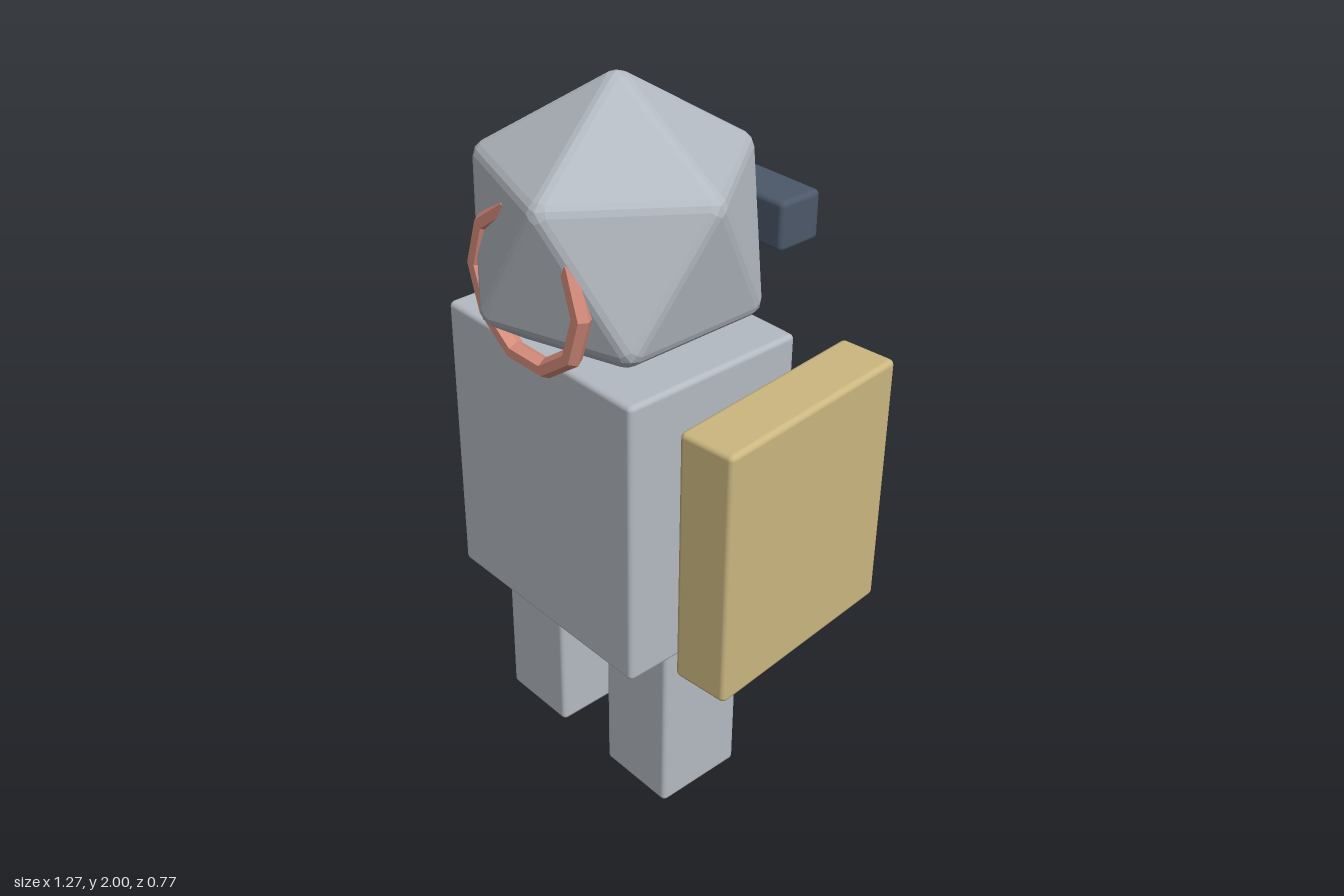
import * as THREE from 'three';
import { RoundedBoxGeometry } from 'three/addons/geometries/RoundedBoxGeometry.js';
import { ConvexGeometry } from 'three/addons/geometries/ConvexGeometry.js';

const paint = (name, color) => {
  const m = new THREE.MeshStandardMaterial({ color });
  m.name = name;
  return m;
};

// Icosahedron standing on a vertex, with rounded edges and corners
function roundedIcosahedron(radius, bevel) {
  const dirs = [new THREE.Vector3(0, 1, 0), new THREE.Vector3(0, -1, 0)];
  const h = 1 / Math.sqrt(5);
  for (let i = 0; i < 5; i++) {
    for (const s of [1, -1]) {
      const a = (i * 2 * Math.PI) / 5;
      dirs.push(new THREE.Vector3(2 * h * Math.cos(a), h, 2 * h * Math.sin(a)).multiplyScalar(s));
    }
  }
  const near = (a, b) => a !== b && a.distanceTo(b) < 1.1;
  const inner = radius - bevel / 0.7947;
  const points = [];
  for (const v of dirs) {
    const normals = [v.clone()];
    const ring = dirs.filter((d) => near(d, v));
    for (const a of ring) {
      normals.push(v.clone().add(a).normalize());
      for (const b of ring) {
        if (near(a, b) && dirs.indexOf(a) < dirs.indexOf(b)) normals.push(v.clone().add(a).add(b).normalize());
      }
    }
    for (const n of normals) points.push(v.clone().multiplyScalar(inner).addScaledVector(n, bevel));
  }
  return new ConvexGeometry(points);
}

export function createModel() {
  const model = new THREE.Group();
  const stone = paint('stone grey', 0xb4bac2);
  const gold = paint('sand gold', 0xcbb780);
  const bone = paint('pale bone', 0xcfc9bf);
  const slate = paint('dark slate', 0x4c586a);
  const coral = paint('coral', 0xd98f7d);

  const add = (name, geometry, material, position, turn = 0) => {
    const mesh = new THREE.Mesh(geometry, material);
    mesh.name = name;
    mesh.position.set(...position);
    mesh.rotation.y = turn;
    model.add(mesh);
    return mesh;
  };
  const box = (name, size, material, position, turn) =>
    add(name, new RoundedBoxGeometry(...size, 2, 0.015), material, position, turn);

  // Body and legs
  const cx = -0.027;
  box('torso', [0.715, 0.825, 0.545], stone, [cx, 0.943, 0.037]);
  for (const [name, s] of [['leftLeg', 1], ['rightLeg', -1]]) {
    box(name, [0.245, 0.56, 0.27], stone, [cx + s * 0.22, 0.283, 0.04]);
  }

  // Faceted head with a ring half sunk into its face and a bar behind
  add('head', roundedIcosahedron(0.41, 0.045), stone, [cx, 1.602, 0.037]);
  const ringGeometry = new THREE.TorusGeometry(0.2, 0.026, 6, 10).toNonIndexed();
  ringGeometry.computeVertexNormals();
  add('faceRing', ringGeometry, coral, [cx, 1.53, 0.319]);
  box('backBar', [0.55, 0.135, 0.135], slate, [-0.025, 1.606, -0.318]);

  // Slab on the left, staff on the right
  box('leftSlab', [0.16, 0.715, 0.605], gold, [0.526, 0.998, -0.018], 0.09);
  box('rightStaff', [0.103, 0.99, 0.103], bone, [-0.578, 1.11, -0.074], 0.25);

  return model;
}
